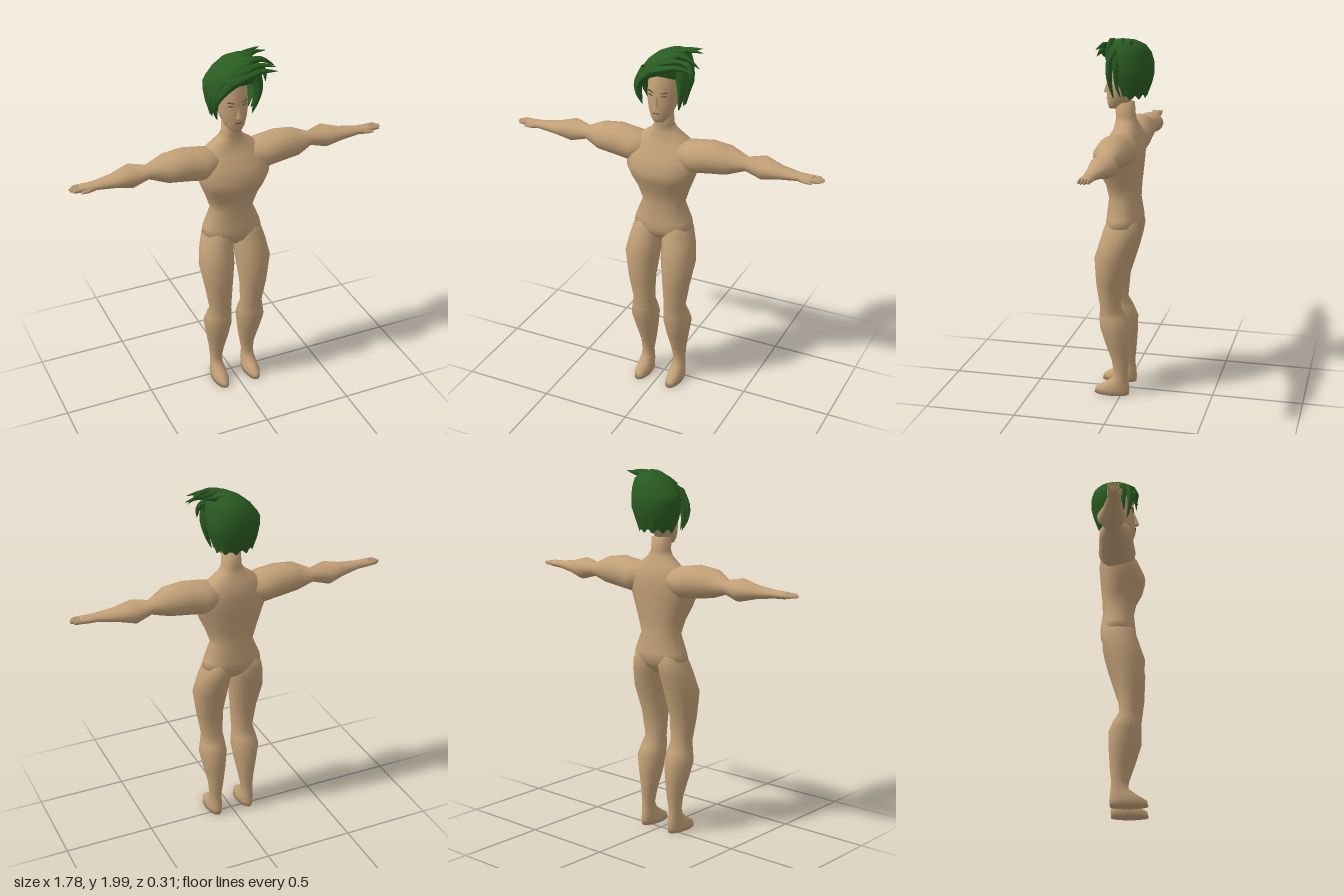
import * as THREE from 'three';

const skin = new THREE.MeshStandardMaterial({ color: 0xc2a077 });
const hair = new THREE.MeshStandardMaterial({ color: 0x2a5c22, side: THREE.DoubleSide });
const feature = new THREE.MeshStandardMaterial({ color: 0x66523c });
skin.name = 'skin'; hair.name = 'green hair'; feature.name = 'facial features';

// Closed smooth loft. Rows are [t, aMin, aMax, bMin, bMax]:
// axis 'y' gives a = x, b = z; axis 'x' gives a = z, b = y. side -1 mirrors in x.
function loft(rows, { axis = 'y', n = 18, side = 1, power = 1 } = {}) {
  const pos = [], idx = [];
  const put = (t, a, b) => axis === 'y' ? pos.push(a * side, t, b) : pos.push(t * side, b, a);
  const tri = (a, b, c) => side > 0 ? idx.push(a, b, c) : idx.push(a, c, b);
  const bend = v => Math.sign(v) * Math.abs(v) ** power;
  for (const [t, a0, a1, b0, b1] of rows) {
    for (let j = 0; j < n; j++) {
      const w = j / n * Math.PI * 2;
      put(t, (a0 + a1) / 2 + (a1 - a0) / 2 * bend(Math.cos(w)), (b0 + b1) / 2 + (b1 - b0) / 2 * bend(Math.sin(w)));
    }
  }
  const last = (rows.length - 1) * n, base = rows.length * n;
  for (const r of [rows[0], rows[rows.length - 1]]) put(r[0], (r[1] + r[2]) / 2, (r[3] + r[4]) / 2);
  for (let j = 0; j < n; j++) {
    const k = (j + 1) % n;
    for (let i = 0; i < last; i += n) {
      tri(i + j, i + n + j, i + k);
      tri(i + k, i + n + j, i + n + k);
    }
    tri(base, j, k);
    tri(base + 1, last + k, last + j);
  }
  const g = new THREE.BufferGeometry();
  g.setAttribute('position', new THREE.Float32BufferAttribute(pos, 3));
  g.setIndex(idx);
  g.computeVertexNormals();
  return g;
}

// Tapered curved lock of hair, pointed at its tip and flattened in z
function lockGeometry(points, radius) {
  const curve = new THREE.CatmullRomCurve3(points.map(p => new THREE.Vector3(...p)));
  const steps = 8, sides = 6;
  const g = new THREE.TubeGeometry(curve, steps, radius, sides);
  const p = g.attributes.position, v = new THREE.Vector3();
  for (let i = 0; i <= steps; i++) {
    const c = curve.getPointAt(i / steps), s = Math.max(0.02, (1 - i / steps) ** 0.7);
    for (let j = 0; j <= sides; j++) {
      const k = i * (sides + 1) + j;
      v.fromBufferAttribute(p, k).sub(c).multiplyScalar(s);
      p.setXYZ(k, c.x + v.x, c.y + v.y, c.z + v.z * 0.7);
    }
  }
  g.computeVertexNormals();
  return g;
}

// Hair shell: rows of [y, centreX, rx, zBack, zFront, half angle measured from the back]
function hairCap() {
  const rows = [
    [1.68, 0, 0.105, -0.115, 0.06, 1.75], [1.74, 0, 0.125, -0.14, 0.08, 1.9],
    [1.80, 0.005, 0.14, -0.155, 0.09, 2.05], [1.845, 0.005, 0.143, -0.155, 0.095, 2.35],
    [1.865, 0.01, 0.138, -0.153, 0.1, Math.PI], [1.91, 0.025, 0.118, -0.143, 0.1, Math.PI],
    [1.95, 0.045, 0.09, -0.12, 0.085, Math.PI], [1.975, 0.06, 0.055, -0.075, 0.06, Math.PI],
    [1.985, 0.07, 0.002, -0.01, 0.0, Math.PI]];
  const n = 28, pos = [], idx = [];
  rows.forEach(([y, cx, rx, z0, z1, span], i) => {
    for (let j = 0; j <= n; j++) {
      const a = (j / n * 2 - 1) * span;
      const hem = i === 0 ? 0.012 * Math.cos(j * 1.4) : 0;
      pos.push(cx + rx * Math.sin(a), y + hem, (z0 + z1) / 2 - (z1 - z0) / 2 * Math.cos(a));
      if (i && j) {
        const b = i * (n + 1) + j, d = b - n - 1;
        idx.push(d - 1, b - 1, d, d, b - 1, b);
      }
    }
  });
  const g = new THREE.BufferGeometry();
  g.setAttribute('position', new THREE.Float32BufferAttribute(pos, 3));
  g.setIndex(idx);
  g.computeVertexNormals();
  return g;
}

export function createModel() {
  const model = new THREE.Group();
  model.name = 'figure';
  const add = (name, geometry, material = skin) => {
    const m = new THREE.Mesh(geometry, material);
    m.name = name;
    model.add(m);
    return m;
  };
  const sym = rows => rows.map(([y, w, z0, z1]) => [y, -w, w, z0, z1]);

  // Torso and neck, from the hips up: [y, half width, back, front]
  add('torso', loft(sym([
    [0.90, 0.06, -0.03, 0.05], [0.94, 0.13, -0.075, 0.09], [0.98, 0.168, -0.095, 0.1],
    [1.02, 0.16, -0.098, 0.095], [1.12, 0.118, -0.085, 0.085], [1.2, 0.145, -0.088, 0.1],
    [1.27, 0.175, -0.095, 0.135], [1.33, 0.198, -0.1, 0.15], [1.4, 0.205, -0.105, 0.118],
    [1.46, 0.17, -0.098, 0.08], [1.5, 0.125, -0.08, 0.058], [1.54, 0.07, -0.062, 0.05],
    [1.57, 0.052, -0.055, 0.05], [1.64, 0.05, -0.05, 0.058]]), { n: 24, power: 0.9 }));

  // Head
  add('head', loft(sym([
    [1.605, 0.03, 0.03, 0.088], [1.63, 0.052, -0.01, 0.096], [1.67, 0.07, -0.05, 0.098],
    [1.72, 0.083, -0.08, 0.096], [1.78, 0.086, -0.1, 0.09], [1.85, 0.08, -0.1, 0.083],
    [1.91, 0.05, -0.07, 0.05]]), { n: 20 }));
  const nose = add('nose', new THREE.ConeGeometry(0.018, 0.07, 4));
  nose.position.set(0, 1.722, 0.098);
  nose.rotation.x = -0.08;
  add('mouth', new THREE.BoxGeometry(0.034, 0.005, 0.006), feature).position.set(0, 1.658, 0.096);

  for (const side of [1, -1]) {
    const label = side > 0 ? 'left' : 'right';
    // Eyes, below a slanted brow
    const eye = add(label + 'Eye', new THREE.BoxGeometry(0.028, 0.006, 0.006), feature);
    eye.position.set(side * 0.036, 1.752, 0.083);
    eye.rotation.set(0, side * 0.25, side * 0.12);
    const brow = add(label + 'Brow', new THREE.BoxGeometry(0.036, 0.005, 0.008), feature);
    brow.position.set(side * 0.037, 1.771, 0.082);
    brow.rotation.set(0, side * 0.28, side * 0.2);

    // Leg and foot, from the sole up
    add(label + 'Leg', loft([
      [0.0, 0.055, 0.14, -0.042, 0.155], [0.03, 0.054, 0.142, -0.045, 0.148],
      [0.06, 0.056, 0.138, -0.042, 0.1], [0.09, 0.062, 0.134, -0.038, 0.058],
      [0.13, 0.064, 0.133, -0.034, 0.043], [0.2, 0.052, 0.138, -0.042, 0.055],
      [0.3, 0.034, 0.158, -0.048, 0.09], [0.4, 0.02, 0.178, -0.05, 0.12],
      [0.46, 0.026, 0.166, -0.025, 0.122], [0.51, 0.032, 0.155, 0.006, 0.12],
      [0.65, 0.026, 0.18, -0.005, 0.138], [0.8, 0.01, 0.205, -0.052, 0.145],
      [0.9, 0.004, 0.188, -0.08, 0.115], [0.96, 0.0, 0.172, -0.092, 0.098],
      [1.03, 0.02, 0.14, -0.08, 0.07]], { side }));

    // Arm, from the shoulder to the palm
    add(label + 'Arm', loft([
      [0.07, -0.08, 0.07, 1.37, 1.485], [0.17, -0.103, 0.1, 1.325, 1.5],
      [0.265, -0.097, 0.09, 1.337, 1.515], [0.37, -0.09, 0.084, 1.352, 1.503],
      [0.465, -0.06, 0.028, 1.383, 1.457], [0.555, -0.095, 0.055, 1.357, 1.477],
      [0.65, -0.06, 0.042, 1.38, 1.45], [0.75, -0.034, 0.034, 1.394, 1.438],
      [0.82, -0.032, 0.034, 1.398, 1.435], [0.835, -0.028, 0.03, 1.402, 1.43]],
    { axis: 'x', side }));

    // Fingers and thumb
    [0.873, 0.888, 0.886, 0.876].forEach((tip, i) => {
      const z = -0.022 + i * 0.0155;
      add(label + 'Finger', loft([
        [0.81, z - 0.008, z + 0.008, 1.405, 1.43], [0.86, z - 0.007, z + 0.007, 1.407, 1.43],
        [tip, z - 0.004, z + 0.004, 1.41, 1.424]], { axis: 'x', n: 6, side }));
    });
    add(label + 'Thumb', loft([
      [0.76, 0.012, 0.034, 1.4, 1.425], [0.8, 0.025, 0.043, 1.4, 1.42],
      [0.835, 0.032, 0.042, 1.402, 1.415]], { axis: 'x', n: 6, side }));
  }

  // Hair: shell, side locks, fringe swept across, and spikes off the left
  add('hairCap', hairCap(), hair);
  const locks = [
    [0.035, [[-0.07, 1.88, 0.06], [-0.115, 1.8, 0.07], [-0.118, 1.74, 0.065], [-0.1, 1.675, 0.05]]],
    [0.03, [[-0.09, 1.86, 0.03], [-0.125, 1.79, 0.03], [-0.125, 1.73, 0.03], [-0.115, 1.685, 0.02]]],
    [0.035, [[0.11, 1.9, 0.05], [0.125, 1.82, 0.06], [0.118, 1.75, 0.055], [0.1, 1.668, 0.04]]],
    [0.03, [[0.12, 1.88, 0.02], [0.135, 1.8, 0.02], [0.125, 1.73, 0.015], [0.11, 1.68, 0.0]]],
    [0.035, [[0.02, 1.9, 0.08], [-0.05, 1.865, 0.09], [-0.1, 1.81, 0.085], [-0.12, 1.74, 0.07]]],
    [0.032, [[-0.06, 1.87, 0.08], [0.02, 1.9, 0.1], [0.12, 1.925, 0.1], [0.215, 1.91, 0.1]]],
    [0.03, [[-0.03, 1.9, 0.07], [0.05, 1.94, 0.09], [0.13, 1.955, 0.09], [0.2, 1.94, 0.11]]],
    [0.03, [[0.0, 1.93, 0.04], [0.07, 1.965, 0.05], [0.14, 1.97, 0.05], [0.22, 1.92, 0.05]]],
    [0.026, [[0.0, 1.945, 0.0], [0.07, 1.97, 0.0], [0.14, 1.982, -0.02], [0.205, 1.975, -0.03]]],
    [0.026, [[0.02, 1.94, -0.04], [0.08, 1.965, -0.05], [0.13, 1.975, -0.06], [0.185, 1.985, -0.065]]],
    [0.028, [[0.1, 1.92, 0.03], [0.14, 1.92, 0.03], [0.165, 1.895, 0.04], [0.17, 1.84, 0.05]]]];
  for (const [radius, points] of locks) add('hairLock', lockGeometry(points, radius), hair);

  return model;
}
